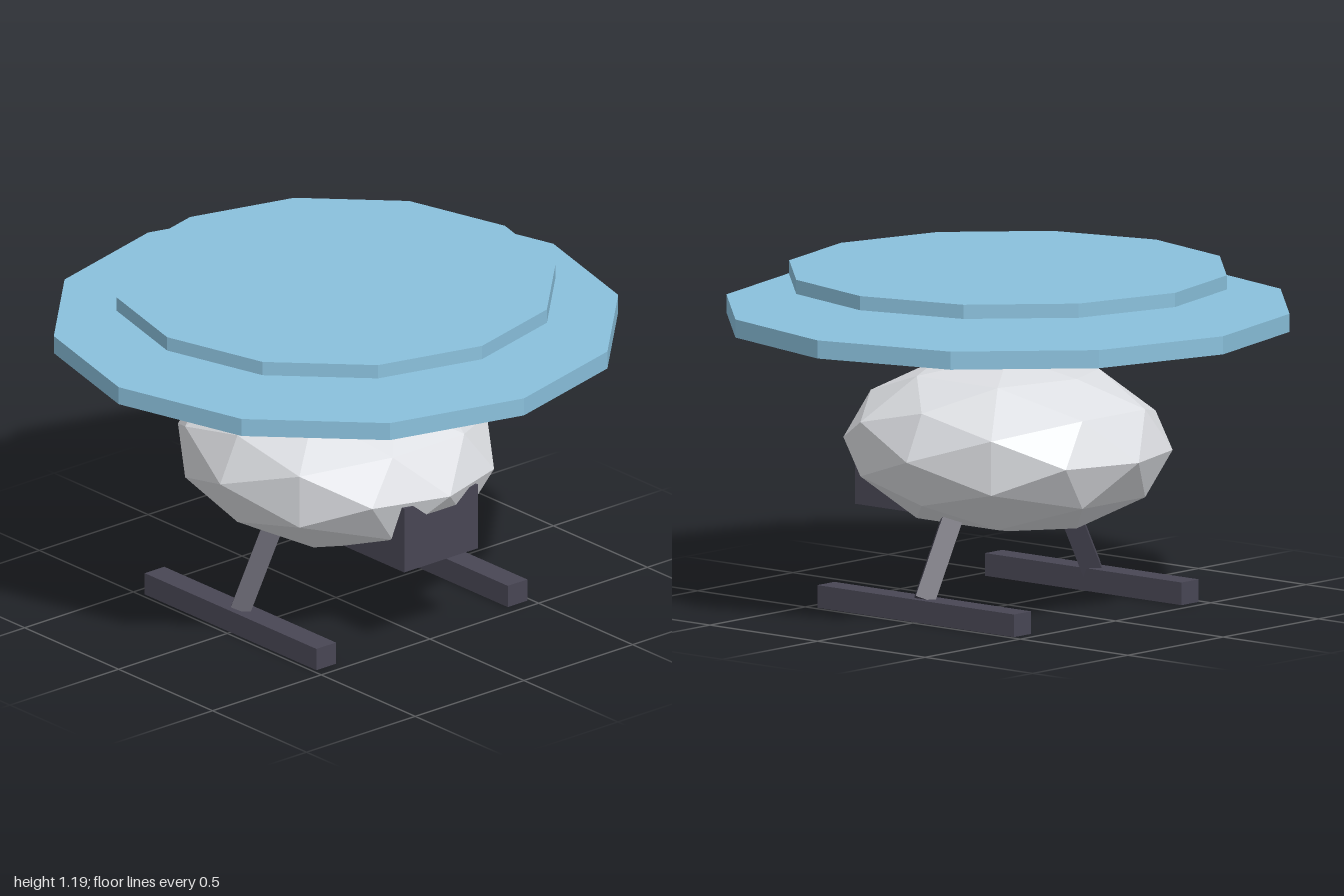
import * as THREE from 'three';

const material = (name, color) => {
  const m = new THREE.MeshStandardMaterial({ color, flatShading: true });
  m.name = name;
  return m;
};

export function createModel() {
  const model = new THREE.Group();
  model.name = 'helicopter';
  const shell = material('paleGrey', 0xdcdee2);
  const dark = material('darkSlate', 0x484654);
  const blue = material('rotorBlue', 0x8ac0dc);

  const add = (name, geometry, mat, x = 0, y = 0, z = 0) => {
    const mesh = new THREE.Mesh(geometry, mat);
    mesh.name = name;
    mesh.position.set(x, y, z);
    model.add(mesh);
    return mesh;
  };

  // faceted egg-shaped cabin
  const cabin = new THREE.IcosahedronGeometry(1, 1);
  cabin.rotateY(Math.PI / 2);
  cabin.scale(0.533, 0.31, 0.608);
  add('cabin', cabin, shell, 0, 0.57, 0);

  // box under the nose
  add('noseBox', new THREE.BoxGeometry(0.34, 0.24, 0.36), dark, 0, 0.435, 0.38);

  // hexagonal mast carrying two rotor discs
  const mast = new THREE.CylinderGeometry(0.08, 0.08, 0.36, 6);
  mast.rotateY(Math.PI / 2);
  add('mast', mast, dark, 0, 0.98, 0);
  add('lowerRotor', new THREE.CylinderGeometry(1, 1, 0.064, 12), blue, 0, 1.03, 0);
  add('upperRotor', new THREE.CylinderGeometry(0.777, 0.777, 0.05, 12), blue, 0, 1.165, 0);

  // skids with slanted diamond-section struts
  for (const [side, s] of [['left', 1], ['right', -1]]) {
    add(side + 'Skid', new THREE.BoxGeometry(0.09, 0.08, 0.914), dark, s * 0.44, 0.04, 0);
    const foot = new THREE.Vector3(s * 0.44, 0.07, 0);
    const top = new THREE.Vector3(s * 0.262, 0.4, 0);
    const strut = add(side + 'Strut',
      new THREE.CylinderGeometry(0.05, 0.05, foot.distanceTo(top), 4), dark);
    strut.position.lerpVectors(foot, top, 0.5);
    strut.rotation.z = Math.atan2(foot.x - top.x, top.y - foot.y);
  }
  return model;
}
